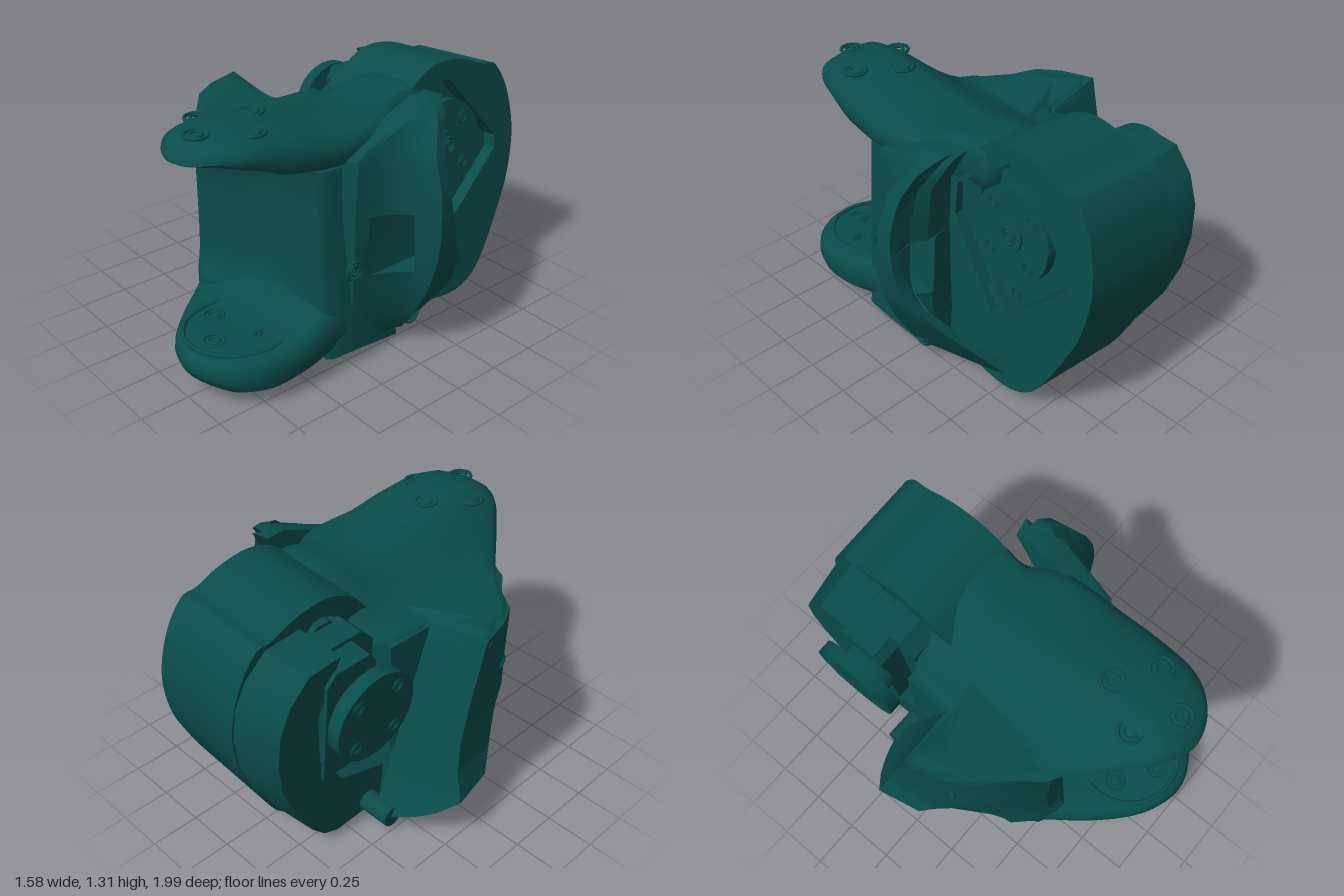
import * as THREE from 'three';
import { toCreasedNormals } from 'three/addons/utils/BufferGeometryUtils.js';

const mat = new THREE.MeshStandardMaterial({ color: 0x094c4a, side: THREE.DoubleSide });
const { clamp, smoothstep, lerp } = THREE.MathUtils;

function add(parent, name, geo) {
  const m = new THREE.Mesh(geo, mat);
  m.name = name;
  parent.add(m);
  return m;
}

// Piecewise-linear lookup
function look(table, v) {
  if (v <= table[0][0]) return table[0][1];
  for (let i = 1; i < table.length; i++) {
    const [a, p] = table[i - 1], [b, q] = table[i];
    if (v <= b) return p + (q - p) * (v - a) / (b - a);
  }
  return table[table.length - 1][1];
}

// Solid through rings of [x, y, z], stacked from bottom to top
function loft(rings, crease = 0.6) {
  const flat = r => r.map(p => new THREE.Vector2(p[0], p[2]));
  if (THREE.ShapeUtils.area(flat(rings[0])) < 0) rings = rings.map(r => r.slice().reverse());
  const n = rings[0].length, idx = [];
  for (let k = 0; k < rings.length - 1; k++) {
    for (let i = 0; i < n; i++) {
      const j = (i + 1) % n, a = k * n, b = a + n;
      idx.push(a + i, b + i, a + j, a + j, b + i, b + j);
    }
  }
  const last = (rings.length - 1) * n;
  for (const [a, b, c] of THREE.ShapeUtils.triangulateShape(flat(rings[0]), [])) idx.push(a, b, c);
  for (const [a, b, c] of THREE.ShapeUtils.triangulateShape(flat(rings[rings.length - 1]), []))
    idx.push(last + a, last + c, last + b);
  const g = new THREE.BufferGeometry();
  g.setAttribute('position', new THREE.Float32BufferAttribute(rings.flat(2), 3));
  g.setIndex(idx);
  return toCreasedNormals(g, crease);
}

// Rounded plate: smooth outline in plan, height rules for top and bottom
function plate(outline, top, bottom, centre) {
  const curve = new THREE.CatmullRomCurve3(outline.map(([x, z]) => new THREE.Vector3(x, 0, z)), true);
  const pts = curve.getPoints(96).slice(0, -1);
  const steps = [[0.03, 0], [0.35, 0], [0.65, 0], [0.88, 0], [0.97, 0.08], [1, 0.35], [0.99, 0.65],
    [0.95, 0.88], [0.86, 1], [0.7, 1], [0.55, 1], [0.4, 1], [0.25, 1], [0.03, 1]];
  return loft(steps.map(([s, f]) => pts.map(p => {
    const x = lerp(centre[0], p.x, s), z = lerp(centre[1], p.z, s);
    return [x, lerp(bottom(x, z), top(x, z), f), z];
  })), 0.9);
}

// Extrusion along x of a profile given as [distance back, height]
function sideways(profile, x0, x1, hole, smooth) {
  const toPts = l => l.map(p => new THREE.Vector2(p[0], p[1]));
  const shape = new THREE.Shape();
  if (smooth) {
    shape.moveTo(...profile[0]);
    shape.splineThru(toPts(profile.slice(1)));
    shape.closePath();
  } else shape.setFromPoints(toPts(profile));
  if (hole) shape.holes.push(new THREE.Path(toPts(hole)));
  const g = new THREE.ExtrudeGeometry(shape, { depth: x1 - x0, bevelEnabled: false, curveSegments: 48 });
  return toCreasedNormals(g.rotateY(Math.PI / 2).translate(x0, 0, 0), 0.5);
}

// Disc whose axis runs along x
const discX = (r, x0, x1, y, z) => new THREE.CylinderGeometry(r, r, x1 - x0, 40)
  .rotateZ(Math.PI / 2).translate((x0 + x1) / 2, y, z);

// Low lip with a socket, facing along x or y
function bolt(parent, name, r, x, y, z, axis) {
  const g = new THREE.Group();
  g.name = name;
  add(g, 'lip', new THREE.TorusGeometry(r, r * 0.16, 8, 24));
  add(g, 'socket', new THREE.TorusGeometry(r * 0.55, r * 0.14, 8, 20));
  if (axis === 'x') g.rotation.y = Math.PI / 2;
  else g.rotation.x = Math.PI / 2;
  g.position.set(x, y, z);
  parent.add(g);
}

export function createModel() {
  const model = new THREE.Group();
  model.name = 'forkJoint';

  // Central column with the swept left wing
  const wingX = [[0.02, -0.3], [0.05, -0.38], [0.1, -0.52], [0.145, -0.62], [0.19, -0.7], [0.27, -0.79],
    [0.4, -0.735], [0.55, -0.71], [0.8, -0.71], [1.08, -0.72]];
  const wingFront = [[0.1, 0.12], [0.27, 0.06], [0.4, 0.2], [0.6, 0.3]];
  const outerBack = [[0.1, -0.37], [0.27, -0.2], [1.08, 0]];
  const innerBack = [[0.1, -0.37], [1.08, 0]];
  const wingTop = [[-0.72, 1.095], [-0.62, 1.08], [-0.5, 1.045], [-0.4, 1.03], [0.5, 1.04]];
  const column = [];
  for (let y = 0.02; y < 1.1; y += 0.025) {
    const xl = look(wingX, y), s = (0.6 - y) * 0.08, zf = look(wingFront, y);
    const c = Math.min(y > 0.6 ? 0.15 : 0.07, 0.12 * ((y - 0.6) / 0.42) ** 4);
    const right = (x, off) => Math.max(x, xl + off);
    column.push([
      [xl, look(outerBack, y)], [xl + 0.05, zf * 0.6], [xl + 0.115, zf], [right(-0.46, 0.13), 0.42],
      [right(-0.36, 0.14), 0.5 + c * 0.3], [right(-0.31, 0.15) + c * 0.6, 0.53 + c * 0.6], [right(-0.25, 0.17) + c * 0.5, 0.51 + c],
      [-0.12, 0.43 + c], [-0.05, 0.39 + c], [0.04, 0.365 + c * 0.7], [0.15, 0.35 + c * 0.5],
      [0.47 + s, 0.39], [0.49 + s, 0.36], [0.5 + s, 0.2], [0.47 + s, -0.06],
      [0.33, -0.12], [0.33, -0.27], [right(-0.39, 0.03), -0.27], [right(-0.4, 0.02), look(innerBack, y)],
    ].map(([x, z]) => {
      const floor = x > -0.3 ? 0.02 + 0.05 * clamp(z / 0.2, 0, 1) : 0;
      return [x, Math.min(Math.max(y, floor), look(wingTop, x) - 0.02), z];
    }));
  }
  add(model, 'column', loft(column, 0.6));

  // Upper fork arm, sweeping from the left wing and back into the drum
  const upZ = [[-0.3, 1.24], [-0.05, 1.18], [0.1, 1.185], [0.33, 1.22], [0.5, 1.25], [0.7, 1.27], [0.85, 1.25], [0.97, 1.18]];
  const rightDrop = [[0.2, 0], [0.35, 0.02], [0.47, 0.06]];
  const underZ = [[-0.3, 0.98], [0.35, 1.0], [0.55, 1.03], [0.7, 1.09], [0.85, 1.13], [0.97, 1.13]];
  const upTop = (x, z) => lerp(look(wingTop, x), look(upZ, z), smoothstep(x, -0.3, 0.1))
    - look(rightDrop, x) * clamp(z / 0.3, 0, 1);
  const upUnder = (x, z) => Math.min(look(underZ, z) + 0.06 * Math.max(x, 0), upTop(x, z) - 0.05);
  add(model, 'upperArm', plate(
    [[-0.71, 0.02], [-0.55, 0], [-0.4, -0.01], [-0.38, -0.1], [-0.34, -0.27], [0, -0.36], [0.35, -0.36], [0.36, -0.2], [0.45, -0.05],
      [0.48, 0.1], [0.48, 0.35], [0.46, 0.6], [0.41, 0.8], [0.29, 0.93], [0.14, 0.965], [0, 0.9], [-0.12, 0.78],
      [-0.29, 0.58], [-0.45, 0.43], [-0.6, 0.29], [-0.66, 0.15]],
    upTop, upUnder, [0.08, 0.33]));

  // Lower fork arm
  const lowTop = [[0, 0.3], [0.4, 0.29], [0.52, 0.24], [0.65, 0.215], [1, 0.215]];
  const lowBottom = [[-0.1, 0.02], [0, 0.03], [0.2, 0.095], [0.35, 0.1], [0.5, 0.07], [0.7, 0.05], [0.88, 0.06], [1, 0.1]];
  const lowUnder = (x, z) => look(lowBottom, z) + 0.03 * x;
  add(model, 'lowerArm', plate(
    [[-0.4, 0.15], [-0.3, 0], [0.1, -0.05], [0.46, 0], [0.53, 0.3], [0.56, 0.6], [0.53, 0.8], [0.43, 0.93],
      [0.26, 0.995], [0.08, 0.95], [-0.08, 0.83], [-0.28, 0.6], [-0.42, 0.4]],
    (x, z) => look(lowTop, z) + 0.06 * x, lowUnder, [0.12, 0.5]));

  // Fork bolts and the round seat
  for (const [x, z] of [[0, 0.71], [0.13, 0.51], [0.32, 0.64], [0.19, 0.84]]) {
    bolt(model, 'upperBolt', 0.055, x, upTop(x, z) - 0.002, z, 'y');
    bolt(model, 'lowerBolt', 0.05, x + 0.05, 0.22 + 0.06 * x, z, 'y');
    bolt(model, 'undersideBolt', 0.055, x + 0.05, lowUnder(x, z) + 0.004, z, 'y');
  }
  add(model, 'seatRing', new THREE.TorusGeometry(0.26, 0.012, 8, 48).rotateX(Math.PI / 2).rotateZ(0.06).translate(0.21, 0.228, 0.68));
  bolt(model, 'sideBolt', 0.045, 0.535, 0.51, 0.24, 'x');
  bolt(model, 'sideBolt', 0.045, 0.575, 0.15, -0.1, 'x');
  bolt(model, 'wingBolt', 0.05, -0.645, 0.82, 0.18, 'x');

  // Right wing: curved shell with a window, made of bands in height
  const rimX = [[0.08, 0.55], [0.2, 0.63], [0.35, 0.71], [0.5, 0.762], [0.6, 0.78], [0.7, 0.788], [0.8, 0.782], [0.9, 0.765],
    [1.05, 0.71], [1.2, 0.62], [1.25, 0.54]];
  const rimZ = [[0.8, -0.06], [1.05, -0.08], [1.25, -0.2]];
  const edgeZ = [[0.08, -0.56], [0.38, -0.31], [0.6, -0.18], [0.82, -0.14], [1.02, -0.14], [1.15, -0.19], [1.25, -0.27]];
  const rootZ = [[1.05, 0.3], [1.25, -0.06]];
  const wingRing = part => y => {
    const xr = look(rimX, y), zr = look(rimZ, y), zb = look(edgeZ, y), dz = zr + 0.06;
    const fx = f => 0.5 + (xr - 0.5) * f;
    const fz = z => Math.min(z, look(rootZ, y) - 0.02 + z * 0.05) + dz;
    const xw = 0.675 - (y - 0.46) * 0.08, xi = xw - 0.125;
    const xb = Math.max(Math.min(xr - 0.012, 0.97 + zb), part === 'outer' ? xw + 0.055 : 0);
    const rim = [[fx(0.82), -0.045 + dz], [xr, zr], [xb, zb], [xb - 0.05, zb]];
    const root = [[0.43, look(rootZ, y) + dz], [fx(0.12), fz(0.24)], [fx(0.18), fz(0.17)]];
    const pts = {
      full: [...root, [fx(0.28), fz(0.1)], [fx(0.42), fz(0.04)], [fx(0.6), -0.01 + dz], ...rim,
        [fx(0.7) - 0.05, -0.13 + dz], [fx(0.25), -0.17 + dz], [0.42, -0.15 + dz]],
      outer: [[xw, -0.015], ...rim, [xw, -0.14]],
      inner: [...root, [xi, 0.12], [xi, -0.17], [0.42, -0.15]],
    }[part];
    return pts.map(([x, z]) => [x, y, z]);
  };
  const wing = new THREE.Group();
  wing.name = 'rightWing';
  model.add(wing);
  add(wing, 'lowerBand', loft([0.08, 0.14, 0.2, 0.28, 0.35, 0.42, 0.46].map(wingRing('full'))));
  add(wing, 'windowEdge', loft([0.46, 0.54, 0.62, 0.7, 0.77].map(wingRing('outer'))));
  add(wing, 'windowRoot', loft([0.46, 0.54, 0.62, 0.7, 0.77].map(wingRing('inner'))));
  add(wing, 'upperBand', loft([0.77, 0.84, 0.9, 0.98, 1.05, 1.1, 1.15, 1.2, 1.24].map(wingRing('full'))));

  // Drum housing, leaning slightly about z
  const drum = new THREE.Group();
  drum.name = 'drum';
  drum.rotation.z = 0.083;
  drum.position.set(0.072, 0.005, 0);
  model.add(drum);
  const pocket = [[0.15, 0.95], [0.45, 1.18], [0.53, 1.18], [0.86, 0.8], [0.86, 0.73], [0.6, 0.48], [0.5, 0.4], [0.42, 0.37], [0.14, 0.78]];
  add(drum, 'drumShell', sideways(
    [[0.1, 0.95], [0.18, 1.07], [0.27, 1.18], [0.33, 1.225], [0.42, 1.265], [0.52, 1.275], [0.65, 1.25], [0.77, 1.2], [0.86, 1.18],
      [0.95, 1.03], [0.995, 0.8], [0.965, 0.57], [0.89, 0.38], [0.77, 0.15], [0.68, 0.05], [0.56, 0.005], [0.4, 0.015], [0.12, 0.08]],
    -0.14, 0.37, pocket, true));

  // Open tail of the drum, widening until it meets the shell
  const tail = sideways(
    [[0.6, 1.185], [0.78, 1.17], [0.88, 1.06], [0.935, 0.92], [0.945, 0.75], [0.92, 0.57], [0.85, 0.38], [0.73, 0.17], [0.65, 0.08],
      [0.56, 0.04], [0.35, 0.05], [0.27, 0.1], [0.27, 0.3], [0.55, 0.4], [0.7, 0.62], [0.72, 0.9]], -0.39, -0.13);
  const tp = tail.attributes.position;
  for (let i = 0; i < tp.count; i++) {
    const k = (tp.getX(i) + 0.39) / 0.26;
    if (tp.getZ(i) < -0.5) tp.setZ(i, -0.5 + (tp.getZ(i) + 0.5) * (1 + 0.1 * k));
    if (tp.getY(i) < 0.8) tp.setY(i, 0.8 + (tp.getY(i) - 0.8) * (1 + 0.04 * k));
  }
  add(drum, 'drumTail', tail);

  // Motor inside the drum with a round plate on either end
  const cy = 0.845, cz = -0.505;
  const inner = pocket.map(([d, y]) => [0.5 + (d - 0.5) * 0.94, 0.82 + (y - 0.82) * 0.94]);
  add(drum, 'motor', sideways(inner, -0.16, 0.32));
  add(drum, 'motorNeck', sideways([[0.3, 0.5], [0.3, 1.06], [0.38, 1.14], [0.62, 1.14], [0.7, 1.06], [0.7, 0.5]], -0.29, -0.12));
  add(drum, 'motorEnd', sideways([[0.4, 0.5], [0.4, 1.06], [0.44, 1.12], [0.64, 1.12], [0.69, 1.06], [0.69, 0.5]], -0.41, -0.28));
  add(drum, 'rightPlate', discX(0.23, 0.31, 0.37, cy, cz));
  add(drum, 'rightHub', discX(0.075, 0.36, 0.385, cy, cz));
  add(drum, 'leftPlate', discX(0.23, -0.535, -0.465, cy + 0.03, cz));
  add(drum, 'leftHub', discX(0.14, -0.5, -0.4, cy + 0.03, cz));
  for (const dy of [-0.12, 0.12]) for (const dz of [-0.12, 0.12]) {
    bolt(drum, 'rightPlateBolt', 0.03, 0.37, cy + dy, cz + dz, 'x');
    bolt(drum, 'leftPlateBolt', 0.03, -0.535, cy + 0.03 + dy, cz + dz, 'x');
  }
  bolt(drum, 'plateCentre', 0.04, 0.386, cy, cz, 'x');
  bolt(drum, 'caseBolt', 0.03, 0.325, 0.87, -0.2, 'x');
  bolt(drum, 'caseBolt', 0.03, 0.325, 0.52, -0.53, 'x');
  add(drum, 'connector', new THREE.BoxGeometry(0.06, 0.14, 0.06).rotateX(0.75).translate(0.33, 0.46, -0.44));

  // Small lug under the open side
  add(model, 'lug', new THREE.CylinderGeometry(0.055, 0.055, 0.18, 20).rotateZ(Math.PI / 2).translate(-0.41, 0.085, -0.36));
  return model;
}
